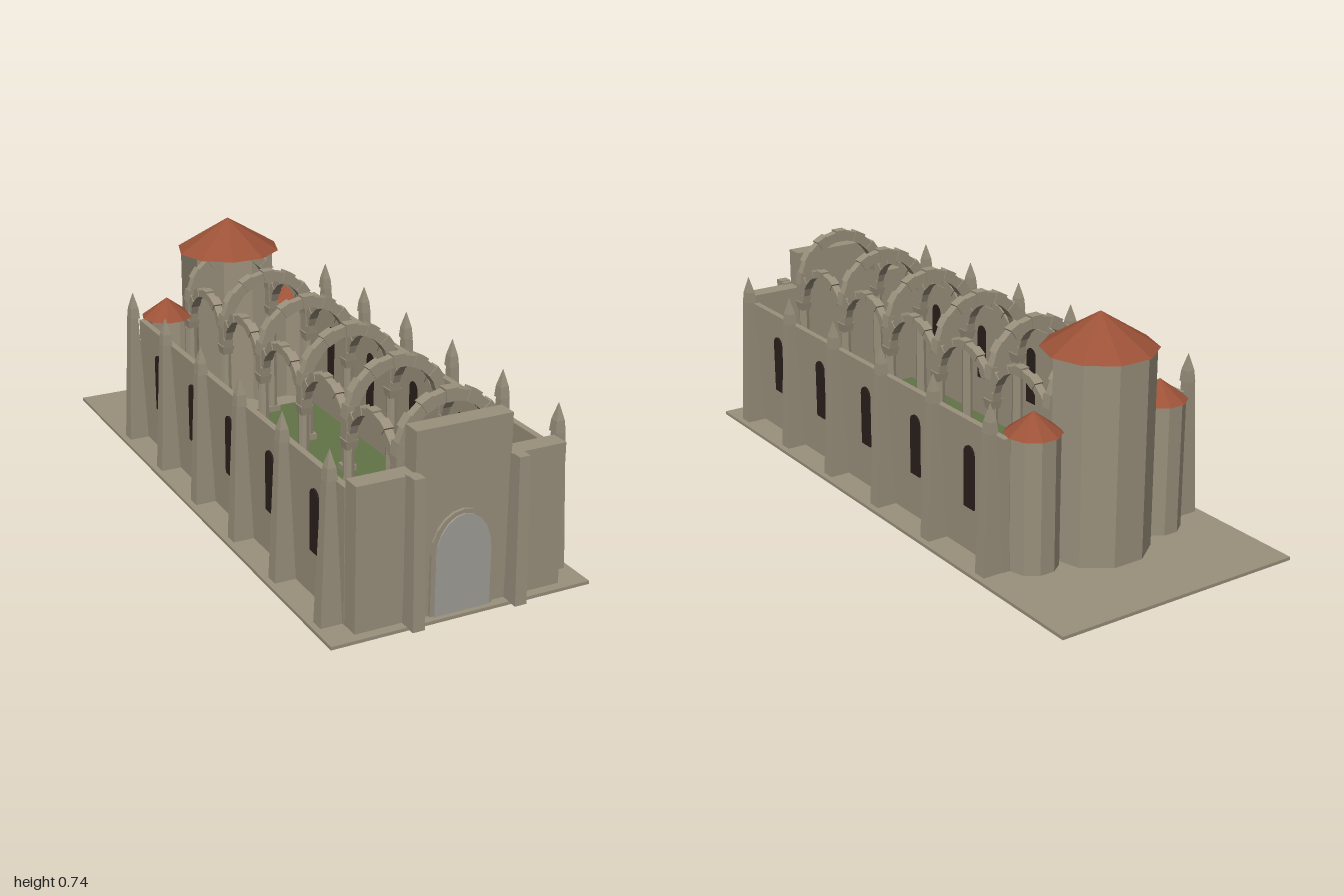
import * as THREE from 'three';

const mat = (color, side = THREE.FrontSide) =>
  new THREE.MeshStandardMaterial({ color, flatShading: true, side });

export function createModel() {
  const model = new THREE.Group();
  const stone = mat(0x9a907c), stoneOpen = mat(0x9a907c, THREE.DoubleSide);
  const tile = mat(0x9c5238, THREE.DoubleSide), grass = mat(0x627346);
  const dark = mat(0x2a201c), grey = mat(0xa09e98);

  function add(name, geo, material, x = 0, y = 0, z = 0, parent = model) {
    const m = new THREE.Mesh(geo, material);
    m.name = name;
    m.position.set(x, y, z);
    parent.add(m);
    return m;
  }
  // Box given by its limits
  function block(name, x0, x1, y0, y1, z0, z1, material = stone) {
    return add(name, new THREE.BoxGeometry(x1 - x0, y1 - y0, z1 - z0), material,
      (x0 + x1) / 2, (y0 + y1) / 2, (z0 + z1) / 2);
  }
  // Four-sided tapered block standing on y = 0
  function taper(w0, d0, w1, d1, h) {
    const g = new THREE.BoxGeometry(1, h, 1).translate(0, h / 2, 0);
    const p = g.attributes.position;
    for (let i = 0; i < p.count; i++) {
      const top = p.getY(i) > h / 2;
      p.setX(i, p.getX(i) * (top ? w1 : w0));
      p.setZ(i, p.getZ(i) * (top ? d1 : d0));
    }
    g.computeVertexNormals();
    return g;
  }
  // Round-headed panel, centred on z
  function archedPanel(halfWidth, height, depth, rise = halfWidth) {
    const s = new THREE.Shape();
    s.moveTo(-halfWidth, 0);
    s.lineTo(halfWidth, 0);
    for (let i = 0; i <= 10; i++) {
      const a = i / 10 * Math.PI;
      s.lineTo(halfWidth * Math.cos(a), height - rise + rise * Math.sin(a));
    }
    return new THREE.ExtrudeGeometry(s, { depth, bevelEnabled: false }).translate(0, 0, -depth / 2);
  }
  // Semicircular arch of wedge stones, alternately bolder and slimmer
  function stoneArch(name, inner, outer, depth, count) {
    const g = new THREE.Group();
    g.name = name;
    for (let i = 0; i < count; i++) {
      const bold = i % 2 === 0;
      const r1 = bold ? outer : outer - 0.006, d = bold ? depth : depth * 0.82;
      const a0 = i / count * Math.PI, a1 = (i + 1) / count * Math.PI;
      const s = new THREE.Shape([[inner, a0], [r1, a0], [r1, a1], [inner, a1]].map(
        ([r, a]) => new THREE.Vector2(r * Math.cos(a), r * Math.sin(a))));
      add('archStone', new THREE.ExtrudeGeometry(s, { depth: d, bevelEnabled: false }),
        stone, 0, 0, -d / 2, g);
    }
    model.add(g);
    return g;
  }

  // Ground slab and overgrown floor
  block('groundSlab', -0.415, 0.415, 0, 0.01, -1, 0.97);
  block('grassFloor', -0.31, 0.31, 0.008, 0.014, -0.61, 0.88, grass);

  const bays = 5, pitch = 0.287, frontZ = 0.85;
  const obelisk = taper(0.066, 0.045, 0.028, 0.03, 0.432);
  const collar = taper(0.033, 0.034, 0.027, 0.028, 0.035);
  const tip = taper(0.027, 0.028, 0.001, 0.001, 0.052);
  const windowGeo = archedPanel(0.025, 0.195, 0.026);

  for (const s of [-1, 1]) {
    block('sideWall', s * 0.32 - 0.01, s * 0.32 + 0.01, 0.01, 0.42, -0.61, 0.88);
    for (let i = 0; i <= bays; i++) {
      const z = frontZ - i * pitch;
      // Buttress with pointed finial
      add('buttress', obelisk, stone, s * 0.363, 0.01, z);
      add('finialBase', collar, stone, s * 0.36, 0.44, z);
      add('finial', tip, stone, s * 0.36, 0.475, z);
      // Nave column and its upper pier
      add('column', new THREE.CylinderGeometry(0.017, 0.019, 0.38, 8), stone, s * 0.15, 0.2, z);
      add('columnBase', new THREE.BoxGeometry(0.044, 0.025, 0.044), stone, s * 0.15, 0.022, z);
      add('capital', taper(0.032, 0.032, 0.042, 0.042, 0.03), stone, s * 0.15, 0.375, z);
      add('upperPier', new THREE.BoxGeometry(0.034, 0.07, 0.03), stone, s * 0.15, 0.438, z);
      if (i === bays) continue;
      // Arcade arch and window in each bay
      const arch = stoneArch('arcadeArch', 0.122, 0.15, 0.03, 13);
      arch.rotation.y = Math.PI / 2;
      arch.position.set(s * 0.15, 0.4, z - pitch / 2);
      add('window', windowGeo, dark, s * 0.322, 0.15, z - pitch / 2).rotation.y = Math.PI / 2;
    }
  }
  // Arches across the nave
  for (let i = 0; i <= bays; i++)
    stoneArch('naveArch', 0.131, 0.17, 0.034, 13).position.set(0, 0.47, frontZ - i * pitch);

  // Entrance front
  block('frontWall', -0.328, 0.328, 0.01, 0.447, 0.88, 0.94);
  block('frontGable', -0.15, 0.15, 0.447, 0.57, 0.88, 0.94);
  add('doorSurround', archedPanel(0.1, 0.31, 0.012, 0.12), stone, 0, 0.008, 0.943);
  add('door', archedPanel(0.088, 0.296, 0.02, 0.12), grey, 0, 0.01, 0.944);
  for (const s of [-1, 1]) {
    const g = taper(0.038, 0.06, 0.034, 0.032, 0.447);
    add('frontPilaster', g, stone, s * 0.163, 0.008, 0.97);
    block('pilasterBacking', s * 0.163 - 0.017, s * 0.163 + 0.017, 0.01, 0.452, 0.935, 0.96);
  }

  // Half-round apses, open to the nave, under faceted cone roofs
  function apse(name, x, r, wallTop, roofR, roofTop) {
    const z = -0.61, h = wallTop - 0.008;
    add(name + 'Wall', new THREE.CylinderGeometry(r, r, h, 5, 1, true, Math.PI / 2, Math.PI),
      stoneOpen, x, 0.008 + h / 2, z);
    const rise = roofTop - wallTop;
    add(name + 'Roof', new THREE.ConeGeometry(roofR, rise, 10, 1, false, Math.PI / 2),
      tile, x, wallTop + rise / 2, z);
    // Floor of the apse
    add(name + 'Floor', new THREE.CylinderGeometry(r, r, 0.006, 10, 1, false, Math.PI / 2),
      stone, x, 0.01, z);
  }
  apse('mainApse', 0, 0.165, 0.628, 0.173, 0.735);
  for (const s of [-1, 1]) apse('sideApse', s * 0.23, 0.079, 0.42, 0.086, 0.484);

  return model;
}
